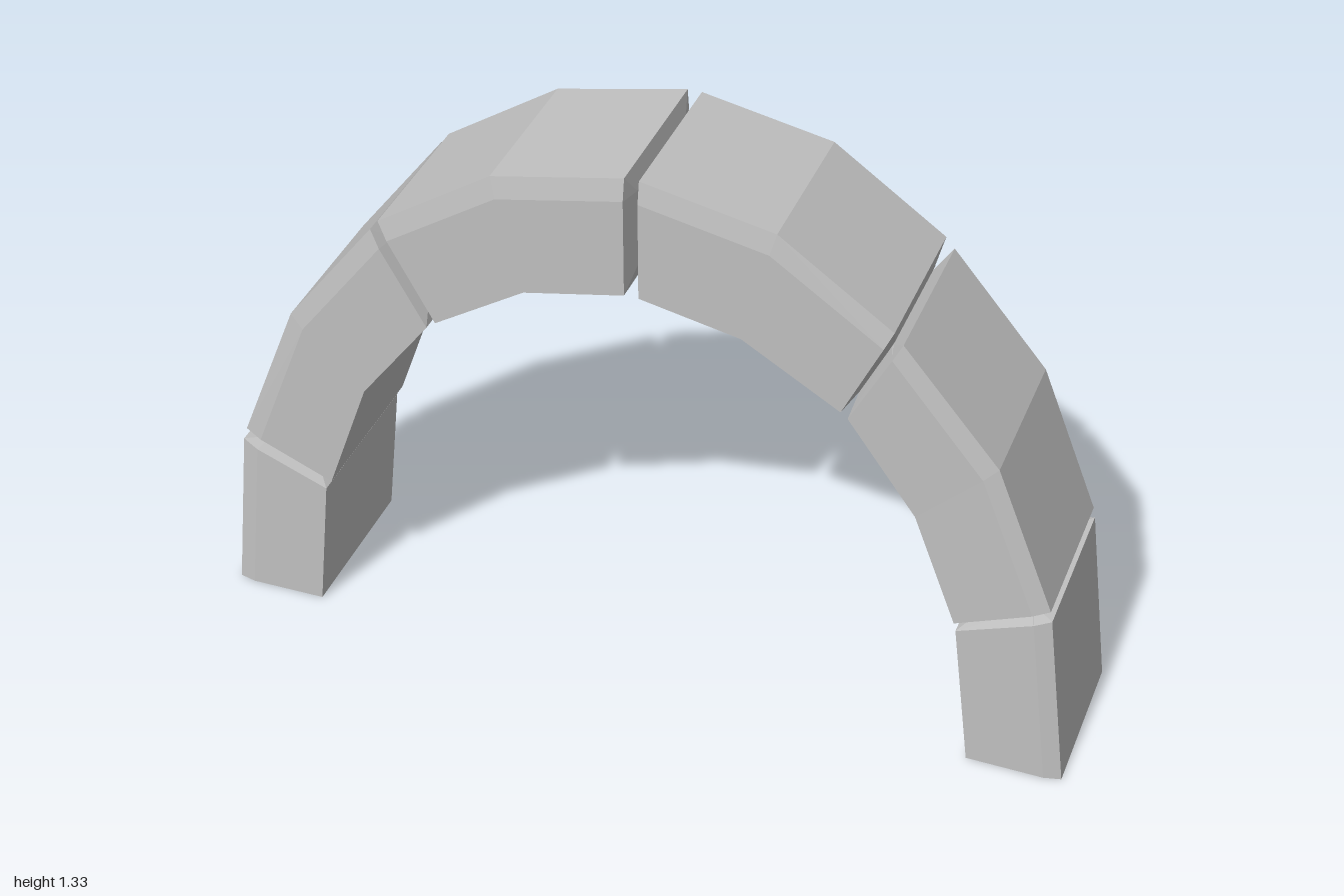
import * as THREE from 'three';

// Stations of each stone along the arch: [outerX, outerY, innerX, innerY]
const STONES = [
  { name: 'rightFootStone', start: false, end: true, stations: [
    [-1, 0, -0.785, 0], [-0.955, 0.42, -0.75, 0.335]] },
  { name: 'rightHaunchStone', start: true, end: true, stations: [
    [-0.945, 0.452, -0.735, 0.36], [-0.805, 0.805, -0.635, 0.64], [-0.596, 1.075, -0.473, 0.853]] },
  { name: 'rightCrownStone', start: true, end: true, stations: [
    [-0.577, 1.1, -0.452, 0.87], [-0.313, 1.27, -0.243, 1.0], [-0.015, 1.33, -0.015, 1.047]] },
  { name: 'leftCrownStone', start: true, end: true, stations: [
    [0.017, 1.33, 0.017, 1.047], [0.313, 1.27, 0.243, 1.0], [0.567, 1.09, 0.463, 0.869]] },
  { name: 'leftHaunchStone', start: true, end: true, stations: [
    [0.587, 1.065, 0.479, 0.856], [0.805, 0.805, 0.635, 0.64], [0.94, 0.463, 0.735, 0.376]] },
  { name: 'leftFootStone', start: true, end: false, stations: [
    [0.945, 0.437, 0.74, 0.356], [1, 0, 0.785, 0]] },
];

// Cross-section: [fraction from inner to outer edge, z]; slightly eased outer edges
const SECTION = [[1, -0.188], [1, 0.188], [0.82, 0.197], [0, 0.195], [0, -0.195], [0.82, -0.197]];
const INSET = 0.05;
const BULGE = 0.013;

function ring([ox, oy, ix, iy]) {
  return SECTION.map(([u, z]) => new THREE.Vector3(ix + (ox - ix) * u, iy + (oy - iy) * u, z));
}

// Smaller ring pushed along the arch, giving the chamfered end of a stone
function chamferRing([ox, oy, ix, iy], dir) {
  const depth = Math.hypot(ox - ix, oy - iy);
  const ux = (ox - ix) / depth, uy = (oy - iy) / depth;
  return SECTION.map(([u, z]) => {
    const r = THREE.MathUtils.clamp(u * depth, INSET, depth - INSET);
    return new THREE.Vector3(
      ix + ux * r + uy * BULGE * dir,
      iy + uy * r - ux * BULGE * dir,
      z - Math.sign(z) * INSET);
  });
}

function stoneGeometry({ stations, start, end }) {
  const rings = stations.map(ring);
  if (start) rings.unshift(chamferRing(stations[0], -1));
  if (end) rings.push(chamferRing(stations[stations.length - 1], 1));
  const n = SECTION.length, pos = [];
  const tri = (...pts) => pts.forEach((p) => pos.push(p.x, p.y, p.z));

  // Skin between neighbouring rings
  for (let k = 0; k < rings.length - 1; k++) {
    for (let j = 0; j < n; j++) {
      const a = rings[k][j], b = rings[k][(j + 1) % n];
      const c = rings[k + 1][(j + 1) % n], d = rings[k + 1][j];
      tri(a, b, c);
      tri(a, c, d);
    }
  }
  // End caps
  const first = rings[0], last = rings[rings.length - 1];
  for (let j = 1; j < n - 1; j++) {
    tri(first[0], first[j + 1], first[j]);
    tri(last[0], last[j], last[j + 1]);
  }
  const geometry = new THREE.BufferGeometry();
  geometry.setAttribute('position', new THREE.Float32BufferAttribute(pos, 3));
  geometry.computeVertexNormals();
  return geometry;
}

export function createModel() {
  const arch = new THREE.Group();
  arch.name = 'stoneArch';
  const stone = new THREE.MeshStandardMaterial({ color: 0xc0c0c0 });
  stone.name = 'lightGreyStone';
  for (const spec of STONES) {
    const mesh = new THREE.Mesh(stoneGeometry(spec), stone);
    mesh.name = spec.name;
    arch.add(mesh);
  }
  return arch;
}
